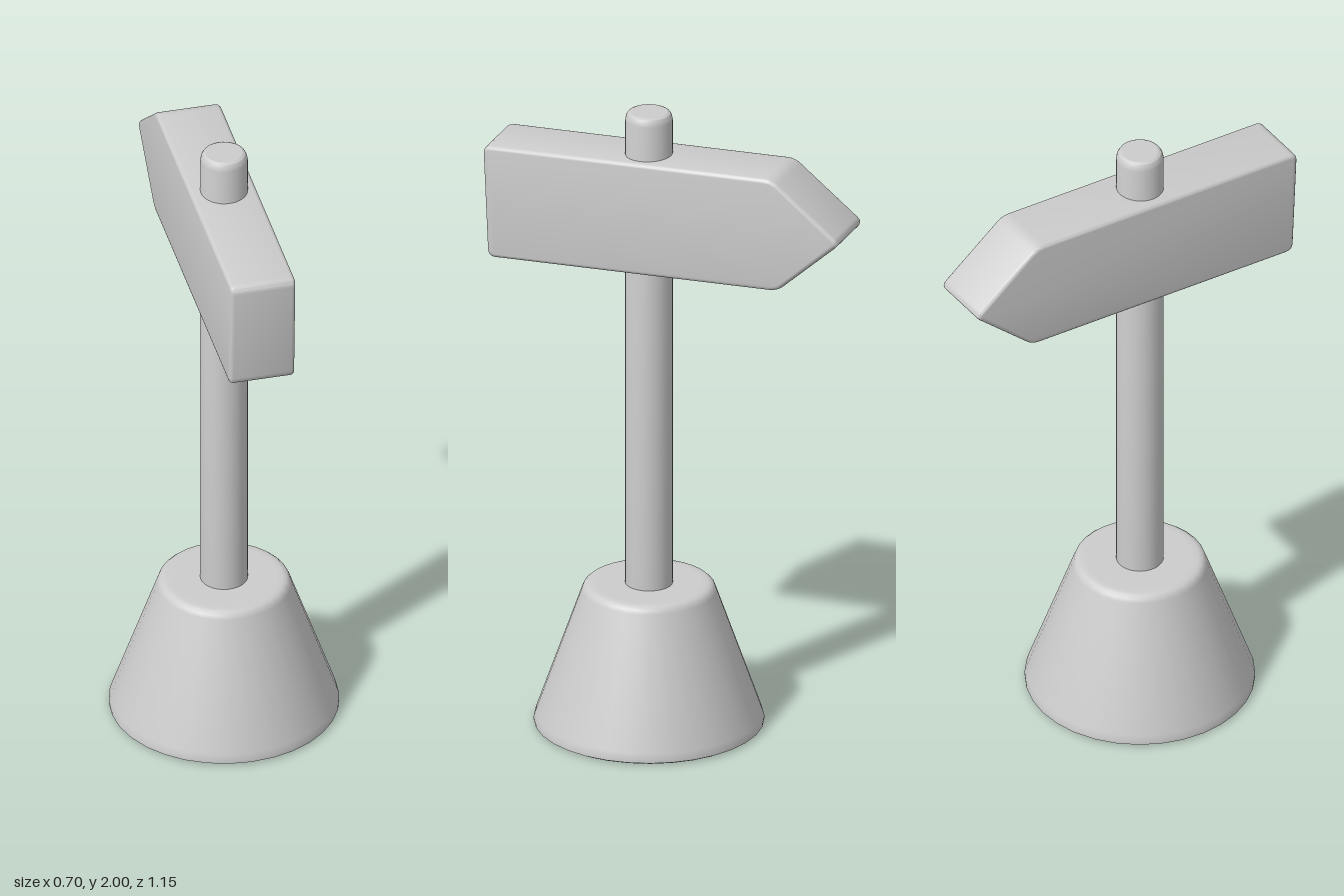
import * as THREE from 'three';
import { toCreasedNormals } from 'three/addons/utils/BufferGeometryUtils.js';

const grey = new THREE.MeshStandardMaterial({ color: 0xcccccc });
grey.name = 'light grey';

function addMesh(group, name, geometry, crease) {
  const mesh = new THREE.Mesh(toCreasedNormals(geometry, crease), grey);
  mesh.name = name;
  group.add(mesh);
  return mesh;
}

const lathe = (profile) =>
  new THREE.LatheGeometry(profile.map(([r, y]) => new THREE.Vector2(r, y)), 32);

// Closed polygon whose corners are softened by a small curve
function roundedPolygon(corners, radius) {
  const shape = new THREE.Shape();
  const pts = corners.map(([x, y]) => new THREE.Vector2(x, y));
  pts.forEach((p, i) => {
    const prev = pts[(i + pts.length - 1) % pts.length];
    const next = pts[(i + 1) % pts.length];
    const a = prev.clone().sub(p).setLength(radius).add(p);
    const b = next.clone().sub(p).setLength(radius).add(p);
    if (i === 0) shape.moveTo(a.x, a.y);
    else shape.lineTo(a.x, a.y);
    shape.quadraticCurveTo(p.x, p.y, b.x, b.y);
  });
  shape.closePath();
  return shape;
}

export function createModel() {
  const model = new THREE.Group();
  model.name = 'signpost';
  const postZ = 0.073;

  // Tapered foot with a soft upper rim
  addMesh(model, 'base', lathe([
    [0, 0], [0.338, 0], [0.349, 0.006], [0.349, 0.016], [0.343, 0.035],
    [0.204, 0.432], [0.199, 0.444], [0.19, 0.452], [0.178, 0.455], [0.16, 0.455], [0, 0.455],
  ]), 0.6).position.z = postZ;

  // Round post with a bevelled top
  addMesh(model, 'post', lathe([
    [0.072, 0.44], [0.072, 1.975], [0.069, 1.988], [0.064, 1.996], [0.056, 2], [0, 2],
  ]), 0.45).position.z = postZ;

  // Slightly tilted arrow board: outline in (z, y), thickness along x
  const width = 0.203, bevel = 0.012;
  const outline = roundedPolygon([
    [0.561, 1.483], [0.577, 1.845], [-0.364, 1.879], [-0.587, 1.702], [-0.381, 1.517],
  ], 0.025);
  const board = new THREE.ExtrudeGeometry(outline, {
    depth: width - 2 * bevel, bevelThickness: bevel, bevelSize: bevel,
    bevelOffset: -bevel, bevelSegments: 3, curveSegments: 4,
  });
  board.translate(0, 0, -(width / 2 - bevel)).rotateY(-Math.PI / 2);
  addMesh(model, 'arrowBoard', board, 0.6).position.x = -0.003;

  return model;
}
